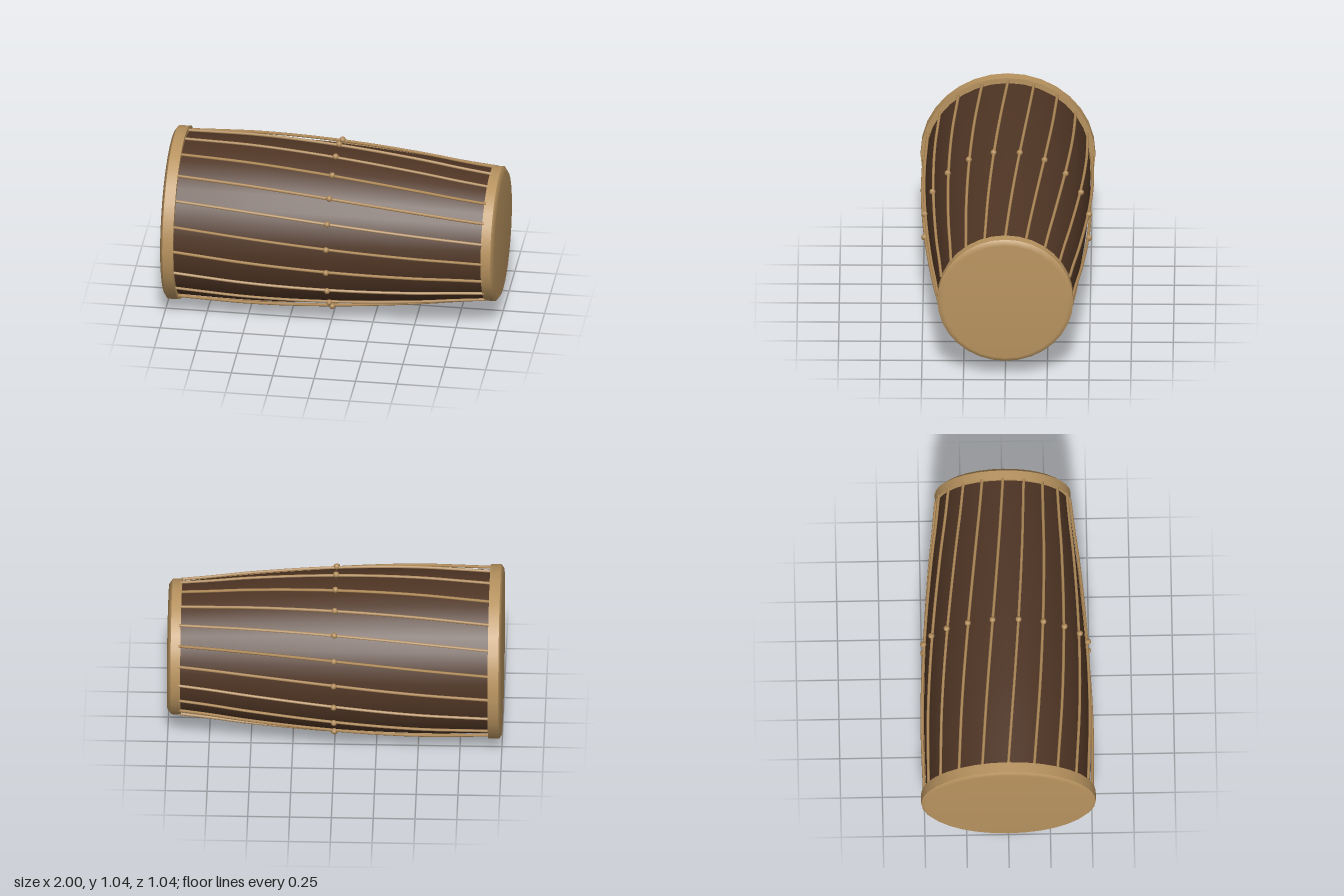
import * as THREE from 'three';

const AXIS_Y = 0.522, ROPES = 20, SIDES = 32;

// barrel radius along the drum axis
const profile = new THREE.SplineCurve([
  [0.487, -0.96], [0.496, -0.5], [0.478, 0], [0.438, 0.5], [0.386, 0.96],
].map(p => new THREE.Vector2(...p)));

function barrelRadius(x) {
  return profile.getPoint((x + 0.96) / 1.92).x;
}

// revolve [radius, x] points around the x axis, x ascending for outward faces
function revolve(points, material, name) {
  const geo = new THREE.LatheGeometry(points.map(p => new THREE.Vector2(p[0], p[1])), SIDES);
  geo.rotateZ(-Math.PI / 2);
  const mesh = new THREE.Mesh(geo, material);
  mesh.name = name;
  return mesh;
}

// hoop band, inner rim face and slightly bevelled skin; side is -1 or +1
function drumHead(side, radius, skinRadius, bevel, mats, name) {
  const head = new THREE.Group();
  head.name = name;
  const order = pts => (side > 0 ? pts : pts.reverse());
  const end = side * (1 - bevel), inner = side * 0.92;
  head.add(
    revolve(order([[radius, inner], [radius, end]]), mats.hide, 'hoop'),
    revolve(order([[radius - 0.06, inner], [radius, inner]]), mats.hide, 'hoopInnerFace'),
    revolve(order([[radius, end], [skinRadius, side], [0, side]]), mats.hide, 'skin'),
  );
  return head;
}

export function createModel() {
  const model = new THREE.Group();
  model.name = 'drum';
  const material = (name, color) => {
    const m = new THREE.MeshStandardMaterial({ color });
    m.name = name;
    return m;
  };
  const mats = {
    wood: material('dark wood', 0x4f3524),
    hide: material('tan hide', 0xb8935f),
    rope: material('rope', 0xb08a58),
  };

  const drum = new THREE.Group();
  drum.name = 'drumBody';
  drum.position.y = AXIS_Y;
  model.add(drum);

  // barrel
  drum.add(revolve(profile.getPoints(24).map(p => [p.x, p.y]), mats.wood, 'barrel'));

  // large and small heads
  drum.add(drumHead(-1, 0.522, 0.5, 0.016, mats, 'largeHead'));
  drum.add(drumHead(1, 0.406, 0.375, 0.022, mats, 'smallHead'));

  // slanted tension ropes, each with a knot bead at the middle
  const path = [];
  for (let i = 0; i <= 10; i++) {
    const x = -0.93 + 0.186 * i;
    const a = THREE.MathUtils.degToRad(9 * (x / 0.92 + 1));
    const r = barrelRadius(x) + 0.014;
    path.push(new THREE.Vector3(x, r * Math.cos(a), r * Math.sin(a)));
  }
  const ropeGeo = new THREE.TubeGeometry(new THREE.CatmullRomCurve3(path), 24, 0.009, 6);
  const beadGeo = new THREE.SphereGeometry(0.019, 8, 6);
  for (let k = 0; k < ROPES; k++) {
    const strand = new THREE.Group();
    strand.name = 'tensionRope';
    strand.rotation.x = (k / ROPES) * Math.PI * 2;
    const rope = new THREE.Mesh(ropeGeo, mats.rope);
    rope.name = 'rope';
    const bead = new THREE.Mesh(beadGeo, mats.rope);
    bead.name = 'bead';
    const a = Math.PI / 20, r = barrelRadius(0) + 0.02;
    bead.position.set(0, r * Math.cos(a), r * Math.sin(a));
    strand.add(rope, bead);
    drum.add(strand);
  }
  return model;
}
